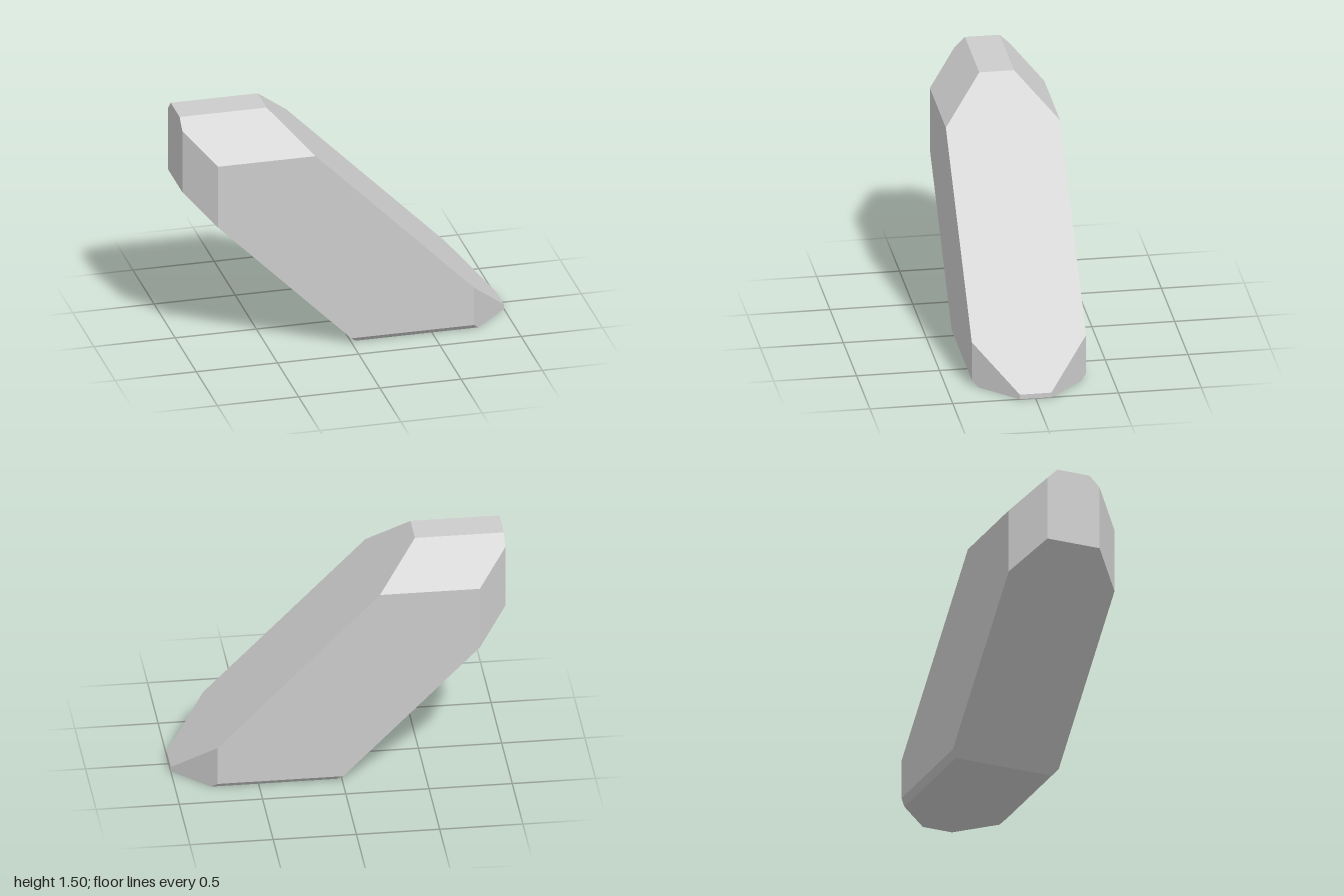
import * as THREE from 'three';
import { ConvexGeometry } from 'three/addons/geometries/ConvexGeometry.js';

export function createModel() {
  const group = new THREE.Group();
  group.name = 'slantedBlock';

  // Corners of one half (z > 0); the other half is mirrored
  const halfCorners = [
    // top ridge
    [-1, 1.495, 0.105], [-0.465, 1.495, 0.105],
    // upper slope, down to the tip
    [-0.225, 1.255, 0.345], [0.75, 0.28, 0.345], [1, 0.03, 0.095],
    // foot with its narrow bevel
    [1, 0, 0.095], [0.785, 0, 0.31], [0.75, 0.035, 0.345],
    [0.03, 0, 0.31], [-0.005, 0.035, 0.345],
    // upright end with bevelled sides
    [-1, 1.03, 0.17], [-1, 1.43, 0.17],
    [-0.825, 0.855, 0.345], [-0.825, 1.255, 0.345],
  ];
  const points = halfCorners.flatMap(([x, y, z]) =>
    [1, -1].map((side) => new THREE.Vector3(x, y, side * z)));

  // Bevelled slanted body
  const body = new THREE.Mesh(
    new ConvexGeometry(points),
    new THREE.MeshStandardMaterial({ color: 0xcccccc, flatShading: true }),
  );
  body.name = 'bevelledBody';
  group.add(body);
  return group;
}
